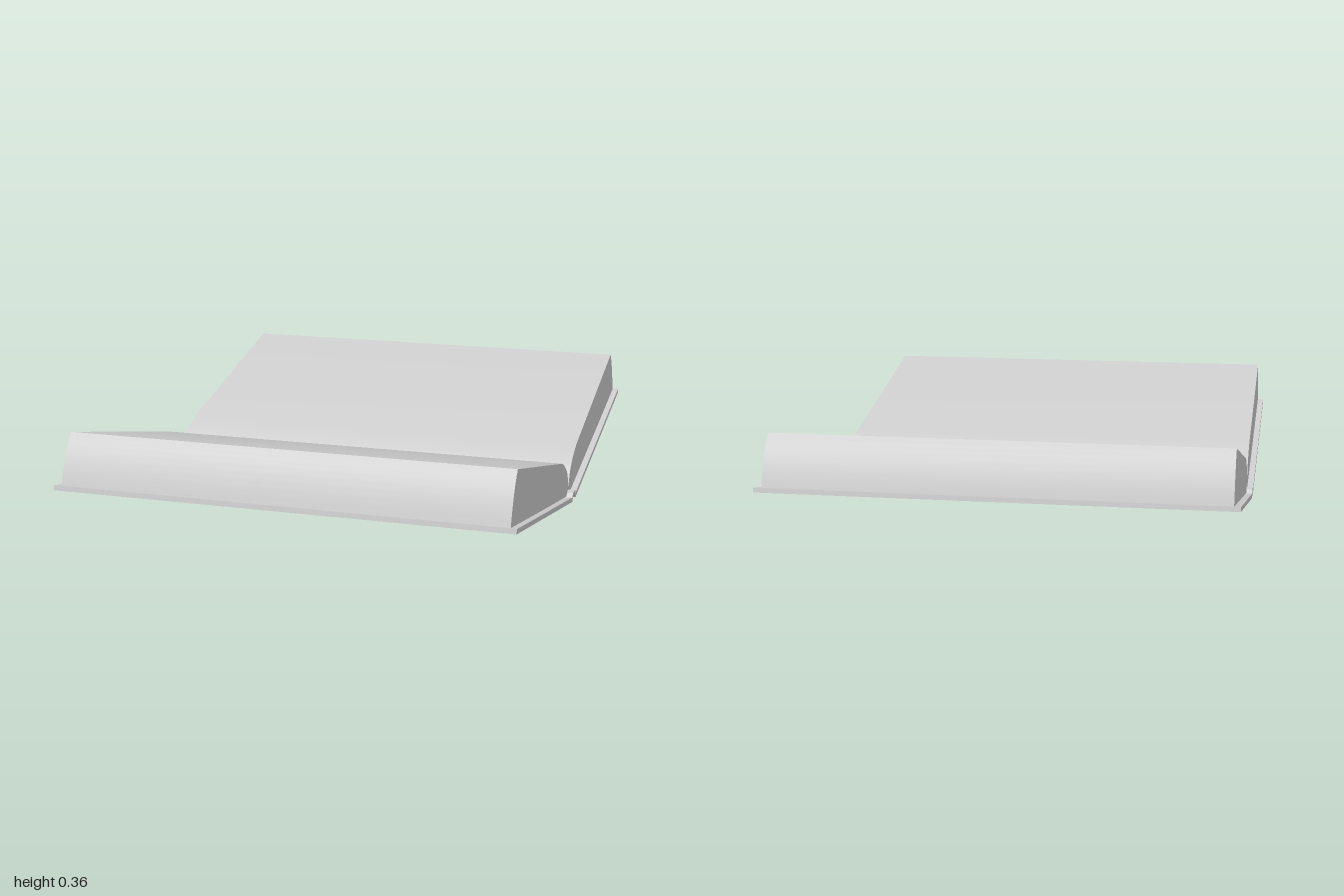
import * as THREE from 'three';
import { toCreasedNormals } from 'three/addons/utils/BufferGeometryUtils.js';

const material = new THREE.MeshStandardMaterial({ color: 0xcccccc });

// Extrudes a (z, y) profile along x, centred on x = 0
function extrudeAcross(name, shape, width) {
  let geo = new THREE.ExtrudeGeometry(shape, { depth: width, bevelEnabled: false, curveSegments: 8 });
  geo.translate(0, 0, -width / 2).rotateY(-Math.PI / 2);
  geo = toCreasedNormals(geo, 0.45);
  const mesh = new THREE.Mesh(geo, material);
  mesh.name = name;
  return mesh;
}

// Half of the open page block: fore edge, flat page, curl into the gutter
function pageBlock(name, side, foot, peak) {
  const s = new THREE.Shape();
  s.moveTo(side * 0.035, 0.02);
  s.lineTo(side * foot[0], foot[1]);
  s.quadraticCurveTo(side * 0.952, 0.305, side * peak[0], peak[1]);
  s.lineTo(side * 0.138, 0.172);
  s.splineThru([[0.085, 0.147], [0.037, 0.113], [0.014, 0.08], [0, 0.045]]
    .map(([z, y]) => new THREE.Vector2(side * z, y)));
  s.closePath();
  return extrudeAcross(name, s, 1.536);
}

// Boards and raised spine as one folded strip
function cover() {
  const outline = [
    [1, 0.179], [0.997, 0.195], [0.05, 0.021], [0.035, 0.017], [0.022, 0.031],
    [-0.022, 0.031], [-0.035, 0.017], [-0.05, 0.021], [-0.997, 0.2], [-1, 0.185],
    [-0.045, 0.003], [-0.033, 0], [-0.017, 0.019], [0.017, 0.019], [0.033, 0], [0.045, 0.003],
  ];
  return extrudeAcross('cover', new THREE.Shape(outline.map(([z, y]) => new THREE.Vector2(z, y))), 1.58);
}

export function createModel() {
  const book = new THREE.Group();
  book.name = 'openBook';
  book.add(
    cover(),
    pageBlock('frontPages', 1, [0.985, 0.191], [0.9, 0.358]),
    pageBlock('backPages', -1, [0.982, 0.196], [0.895, 0.364]),
  );
  return book;
}
